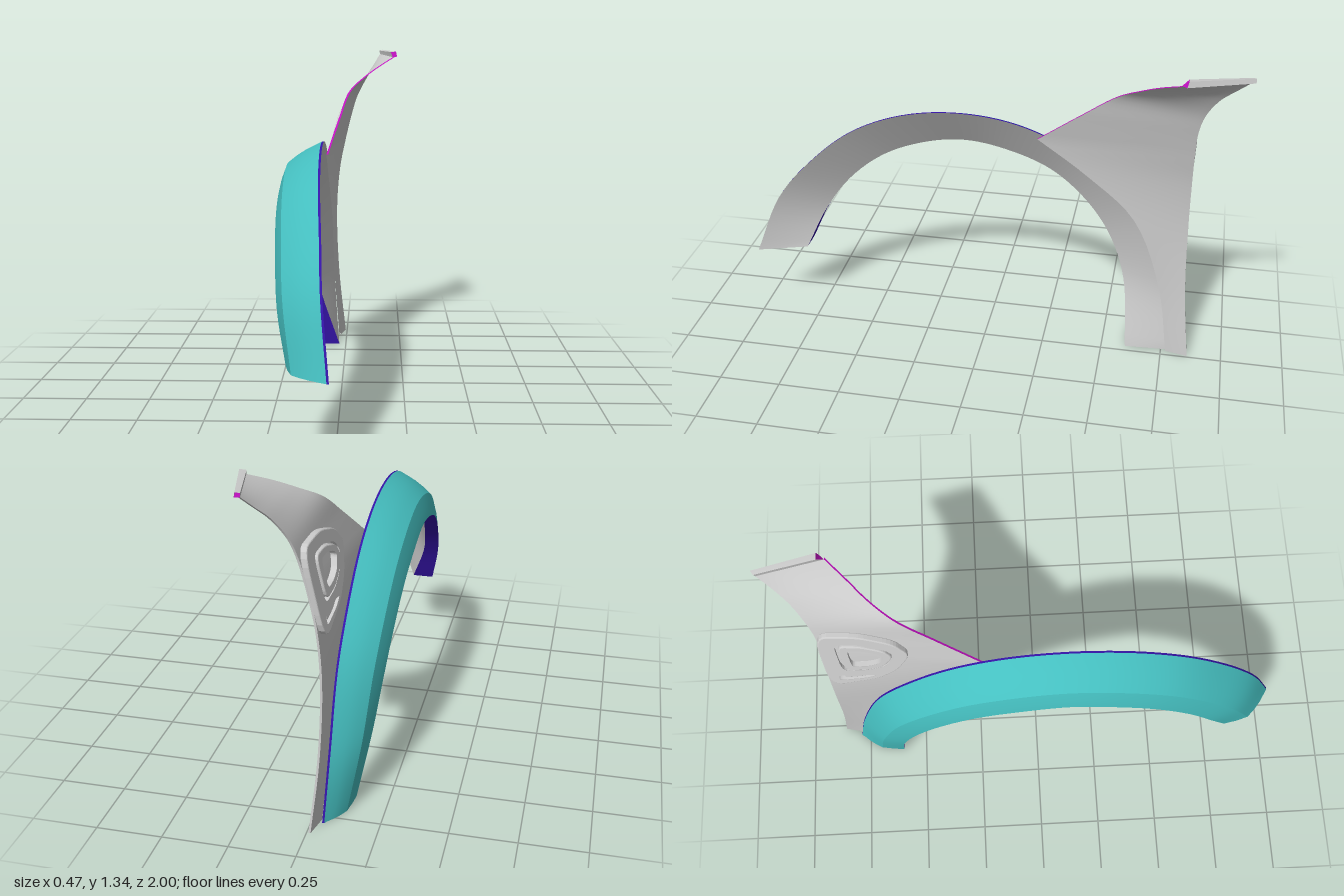
import * as THREE from 'three';

const V = (x, y, z) => new THREE.Vector3(x, y, z);
const mat = (color) => new THREE.MeshStandardMaterial({ color, side: THREE.DoubleSide });
const GREY = mat(0xcccccc), TEAL = mat(0x45bfc0), BLUE = mat(0x3514a8), MAGENTA = mat(0xc010c0);

// smooth surface through rows of points
function surface(name, rows, material) {
  const n = rows[0].length, pos = [], idx = [];
  rows.forEach((row) => row.forEach((p) => pos.push(p.x, p.y, p.z)));
  for (let i = 0; i < rows.length - 1; i++) {
    for (let j = 0; j < n - 1; j++) {
      const a = i * n + j, b = a + n;
      idx.push(a, b, a + 1, b, b + 1, a + 1);
    }
  }
  const g = new THREE.BufferGeometry();
  g.setAttribute('position', new THREE.Float32BufferAttribute(pos, 3));
  g.setIndex(idx);
  g.computeVertexNormals();
  const mesh = new THREE.Mesh(g, material);
  mesh.name = name;
  return mesh;
}
const sample = (pts, n) => new THREE.CatmullRomCurve3(pts, false, 'centripetal');
const along = (pts, n) => {
  const c = sample(pts);
  return Array.from({ length: n + 1 }, (_, i) => c.getPoint(i / n));
};

// arch stations: crown z, y, x | opening edge z, y, x | x where the lip meets the inner wall
const STATIONS = [
  [1.0, 0.3, -0.015, 0.8, 0.3, -0.17, -0.08],
  [0.895, 0.555, -0.04, 0.72, 0.47, -0.205, -0.14],
  [0.755, 0.727, -0.05, 0.61, 0.62, -0.22, -0.16],
  [0.57, 0.88, -0.062, 0.46, 0.74, -0.23, -0.17],
  [0.355, 0.97, -0.068, 0.285, 0.81, -0.235, -0.175],
  [0.12, 1.0, -0.07, 0.12, 0.835, -0.235, -0.175],
  [-0.12, 0.97, -0.07, -0.05, 0.81, -0.235, -0.175],
  [-0.33, 0.88, -0.068, -0.24, 0.74, -0.23, -0.17],
  [-0.515, 0.727, -0.065, -0.39, 0.62, -0.22, -0.16],
  [-0.645, 0.555, -0.06, -0.5, 0.47, -0.205, -0.145],
  [-0.74, 0.28, -0.055, -0.57, 0.28, -0.18, -0.12],
  [-0.79, 0, -0.04, -0.6, 0, -0.125, -0.03],
];

function wheelArch() {
  const group = new THREE.Group();
  group.name = 'wheelArch';
  const N = 66;
  const crown = along(STATIONS.map((s) => V(s[2], s[1], s[0])), N);
  const edge = along(STATIONS.map((s) => V(s[5], s[4], s[3])), N);
  const wall = along(STATIONS.map((s) => V(s[6], s[4], s[3])), N);
  // point between crown (t = 0) and opening edge (t = 1), with its own x share
  const between = (t, tx) => crown.map((c, i) => {
    const p = c.clone().lerp(edge[i], t);
    p.x = c.x + (edge[i].x - c.x) * tx;
    return p;
  });
  const rim = crown.map((c) => c.clone().add(V(-0.008, 0, 0)));
  const skin = [rim, between(0.08, 0.22), between(0.18, 0.42), between(0.32, 0.64), between(0.48, 0.84)];
  group.add(surface('archSkin', skin, TEAL));
  group.add(surface('archLowerBand', [skin[4], between(0.75, 0.94), edge], TEAL));
  group.add(surface('archLip', [edge, wall], BLUE));
  group.add(surface('archInnerWall', [wall, crown], GREY));
  group.add(surface('archRim', [crown, rim], BLUE));
  // flat closing faces at both feet
  for (const i of [0, N]) {
    const outer = [...skin.map((r) => r[i]), edge[i]];
    const inner = outer.map((_, k) => crown[i].clone().lerp(wall[i], k / (outer.length - 1)));
    group.add(surface(i ? 'rearFoot' : 'frontFoot', [outer, inner], BLUE));
  }
  return group;
}

// side panel: front edge and rear edge, bottom to top
const FRONT = [
  V(-0.035, 0, -0.77), V(-0.055, 0.3, -0.72), V(-0.062, 0.6, -0.6), V(-0.068, 0.78, -0.4), V(-0.072, 0.92, -0.2),
  V(-0.025, 1.06, -0.375), V(0.015, 1.165, -0.51), V(0.075, 1.222, -0.6), V(0.14, 1.268, -0.67), V(0.21, 1.31, -0.745),
];
const REAR = [
  V(-0.015, 0, -0.86), V(-0.045, 0.3, -0.828), V(-0.055, 0.6, -0.816), V(-0.04, 0.8, -0.814), V(-0.01, 0.95, -0.814),
  V(0.015, 1.05, -0.82), V(0.04, 1.13, -0.84), V(0.085, 1.215, -0.885), V(0.125, 1.275, -0.94), V(0.152, 1.32, -0.985),
];

function sidePanel() {
  const group = new THREE.Group();
  group.name = 'sidePanel';
  // the corner where the panel leaves the arch stays sharp
  const twoPart = (pts) => [...along(pts.slice(0, 5), 20), ...along(pts.slice(4), 24).slice(1)];
  const front = twoPart(FRONT), rear = twoPart(REAR);
  const sheet = (dx) => front.map((f, i) =>
    Array.from({ length: 13 }, (_, j) => f.clone().lerp(rear[i], j / 12).add(V(dx, 0, 0))));
  const outer = sheet(0), inner = sheet(0.008);
  group.add(surface('panelOuter', outer, GREY));
  group.add(surface('panelInner', inner, GREY));
  group.add(surface('panelFrontEdge', [outer, inner].map((s) => s.slice(20).map((r) => r[0])), MAGENTA));
  group.add(surface('panelRearEdge', [outer, inner].map((s) => s.map((r) => r[12])), GREY));
  group.add(surface('panelFoot', [outer[0], inner[0]], GREY));
  // upturned flange at the top
  const a = [V(0.21, 1.31, -0.745), V(0.152, 1.32, -0.985)];
  const b = [V(0.23, 1.312, -0.765), V(0.168, 1.323, -1.0)];
  const c = [V(0.225, 1.335, -0.77), V(0.165, 1.34, -1.0)];
  const d = [V(0.2, 1.333, -0.77), V(0.15, 1.336, -0.99)];
  group.add(surface('flangeSeam', [a, b], MAGENTA));
  group.add(surface('flangeFace', [b, c], GREY));
  group.add(surface('flangeTop', [c, d], GREY));
  group.add(surface('flangeBack', [d, a], GREY));
  group.add(surface('flangeFrontEnd', [[a[0], b[0]], [d[0], c[0]]], MAGENTA));
  return group;
}

// vent outlines as [z, y]
const FRAME = [[-0.82, 1.09], [-0.66, 1.1], [-0.53, 1.06], [-0.475, 0.99], [-0.53, 0.89], [-0.61, 0.82], [-0.81, 0.75]];
const OPENING = [[-0.76, 1.05], [-0.66, 1.055], [-0.56, 1.025], [-0.525, 0.98], [-0.57, 0.91], [-0.64, 0.875], [-0.75, 0.86]];
const SLOT = [[-0.77, 0.835], [-0.64, 0.85], [-0.61, 0.84], [-0.66, 0.815], [-0.77, 0.79]];

// closed outline with rounded corners, scaled about its own middle
function rounded(pts, scale, Type) {
  const mid = pts.reduce((m, p) => [m[0] + p[0] / pts.length, m[1] + p[1] / pts.length], [0, 0]);
  const q = pts.map((p) => new THREE.Vector2(mid[0] + (p[0] - mid[0]) * scale, mid[1] + (p[1] - mid[1]) * scale));
  const path = new Type();
  q.forEach((p, i) => {
    const prev = q[(i + q.length - 1) % q.length], next = q[(i + 1) % q.length];
    const s = p.clone().lerp(prev, 0.3), e = p.clone().lerp(next, 0.3);
    if (i) path.lineTo(s.x, s.y);
    else path.moveTo(s.x, s.y);
    path.quadraticCurveTo(p.x, p.y, e.x, e.y);
  });
  path.closePath();
  return path;
}

// raised plate lying on the slanted outer face of the panel
function ventPlate(name, outline, scale, holes, height) {
  const shape = rounded(outline, scale, THREE.Shape);
  shape.holes = holes.map(([pts, s]) => rounded(pts, s, THREE.Path));
  const g = new THREE.ExtrudeGeometry(shape, {
    depth: height, curveSegments: 5, bevelEnabled: true, bevelThickness: 0.004, bevelSize: 0.004, bevelOffset: -0.004, bevelSegments: 2,
  });
  const p = g.attributes.position;
  for (let i = 0; i < p.count; i++) {
    const z = p.getX(i), y = p.getY(i), h = p.getZ(i);
    p.setXYZ(i, 0.2 * (y - 1) - 0.09 * (z + 0.815) - h, y, z);
  }
  g.computeVertexNormals();
  const mesh = new THREE.Mesh(g, GREY);
  mesh.name = name;
  return mesh;
}

function vent() {
  const group = new THREE.Group();
  group.name = 'vent';
  group.add(ventPlate('ventFrame', FRAME, 1, [[OPENING, 1], [SLOT, 1]], 0.016));
  group.add(ventPlate('ventRing', OPENING, 0.86, [[OPENING, 0.62]], 0.02));
  group.add(ventPlate('ventSlat', SLOT, 0.7, [], 0.008));
  return group;
}

export function createModel() {
  const model = new THREE.Group();
  model.name = 'fender';
  model.add(wheelArch(), sidePanel(), vent());
  return model;
}
